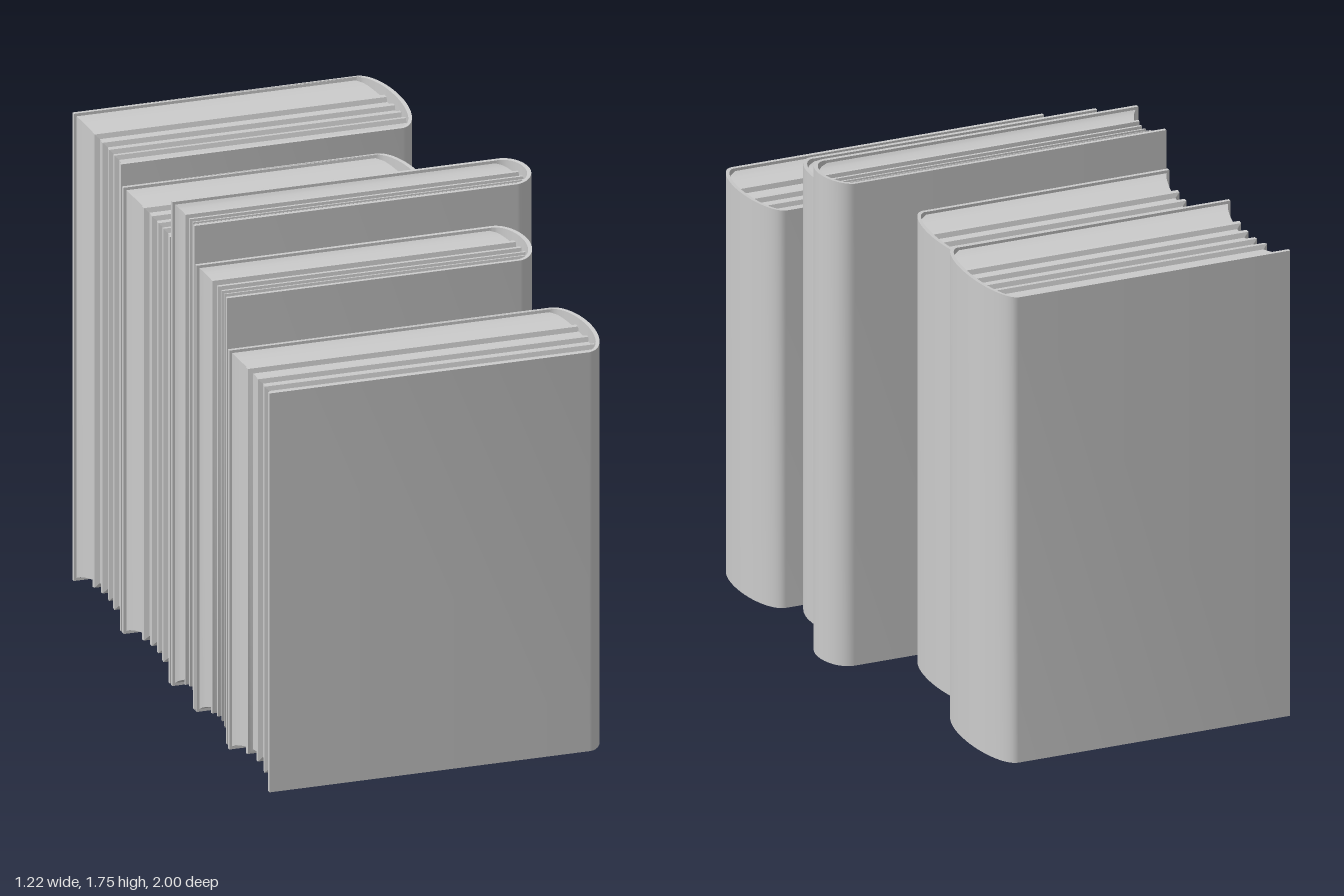
import * as THREE from 'three';
import { toCreasedNormals } from 'three/addons/utils/BufferGeometryUtils.js';

const FORE = -0.61;      // common plane of the opening edges
const BOARD = 0.014;     // cover thickness
const ROUND = 0.08;      // depth of the rounded spine

const material = new THREE.MeshStandardMaterial({ color: 0xcccccc });
const pageMaterial = new THREE.MeshStandardMaterial({ color: 0xcccccc, side: THREE.DoubleSide });

// Front to back: z range, spine position, bottom, top, number of page ridges
const books = [
  { z0: 0.578, z1: 1.0, spine: 0.6, bottom: 0, top: 1.44, ridges: 3 },
  { z0: 0.247, z1: 0.571, spine: 0.505, bottom: 0.01, top: 1.62, ridges: 4 },
  { z0: 0.0, z1: 0.24, spine: 0.61, bottom: 0.01, top: 1.755, ridges: 4 },
  { z0: -0.495, z1: -0.01, spine: 0.36, bottom: 0.01, top: 1.62, ridges: 4 },
  { z0: -1.0, z1: -0.505, spine: 0.465, bottom: 0.01, top: 1.695, ridges: 4 },
];

// U-shaped cover: two boards joined by a rounded spine, extruded upward
function coverGeometry({ z0, z1, spine, bottom, top }) {
  const half = (z1 - z0) / 2, start = spine - ROUND, n = 28;
  const shape = new THREE.Shape();
  const arc = (i, inset) => {
    const a = -Math.PI / 2 + (Math.PI * i) / n;
    shape.lineTo(start + (ROUND - inset) * Math.cos(a), (half - inset) * Math.sin(a));
  };
  shape.moveTo(FORE, -half);
  for (let i = 0; i <= n; i++) arc(i, 0);
  shape.lineTo(FORE, half);
  shape.lineTo(FORE, half - BOARD);
  for (let i = n; i >= 0; i--) arc(i, BOARD);
  shape.lineTo(FORE, -half + BOARD);
  shape.closePath();

  const height = top - bottom;
  const geo = new THREE.ExtrudeGeometry(shape, { depth: height, bevelEnabled: false });
  geo.rotateX(-Math.PI / 2);
  // Boards and spine corners sit slightly lower than the middle of the spine
  const p = geo.attributes.position;
  for (let i = 0; i < p.count; i++) {
    if (p.getY(i) < height / 2) continue;
    const bulge = THREE.MathUtils.clamp((p.getX(i) - start) / ROUND, 0, 1);
    p.setY(i, height - 0.008 * (1 - bulge));
  }
  geo.translate(0, bottom, (z0 + z1) / 2);
  return toCreasedNormals(geo, 0.6);
}

// Page block: rectangles stacked along z, hollowed toward the middle, with raised ridges
function pagesGeometry({ z0, z1, spine, bottom, top, ridges }) {
  const samples = [];
  const hollow = (t) => 0.01 + 0.036 * Math.pow(Math.max(0, Math.sin(Math.PI * t)), 0.7);
  const centres = Array.from({ length: ridges }, (_, i) => 0.28 + (0.44 * i) / (ridges - 1));
  for (let i = 0; i <= 32; i++) {
    const t = i / 32;
    if (centres.every((c) => Math.abs(c - t) > 0.03)) samples.push([t, hollow(t)]);
  }
  for (const c of centres) {
    for (const [o, lift] of [[-0.03, 0], [-0.018, 0.016], [0.018, 0.016], [0.03, 0]]) {
      samples.push([c + o, hollow(c + o) - lift]);
    }
  }
  samples.sort((a, b) => a[0] - b[0]);

  const depth = z1 - z0 - 2 * BOARD;
  const rings = samples.map(([t, d]) => {
    const u = 2 * t - 1, z = z0 + BOARD + depth * t;
    const back = spine - ROUND + (ROUND - BOARD) * Math.sqrt(Math.max(0, 1 - u * u));
    const low = bottom + d, high = top - 0.008 - d, fore = FORE + d;
    return [[fore, low, z], [back, low, z], [back, high, z], [fore, high, z]];
  });
  const pos = [];
  for (let i = 0; i + 1 < rings.length; i++) {
    const a = rings[i], b = rings[i + 1];
    for (let k = 0; k < 4; k++) {
      const m = (k + 1) % 4;
      pos.push(...a[k], ...a[m], ...b[m], ...a[k], ...b[m], ...b[k]);
    }
  }
  const geo = new THREE.BufferGeometry();
  geo.setAttribute('position', new THREE.Float32BufferAttribute(pos, 3));
  return toCreasedNormals(geo, 0.4);
}

export function createModel() {
  const model = new THREE.Group();
  model.name = 'rowOfBooks';
  books.forEach((spec, i) => {
    const book = new THREE.Group();
    book.name = `book${i + 1}`;
    const cover = new THREE.Mesh(coverGeometry(spec), material);
    cover.name = 'cover';
    const pages = new THREE.Mesh(pagesGeometry(spec), pageMaterial);
    pages.name = 'pages';
    book.add(cover, pages);
    model.add(book);
  });
  return model;
}
